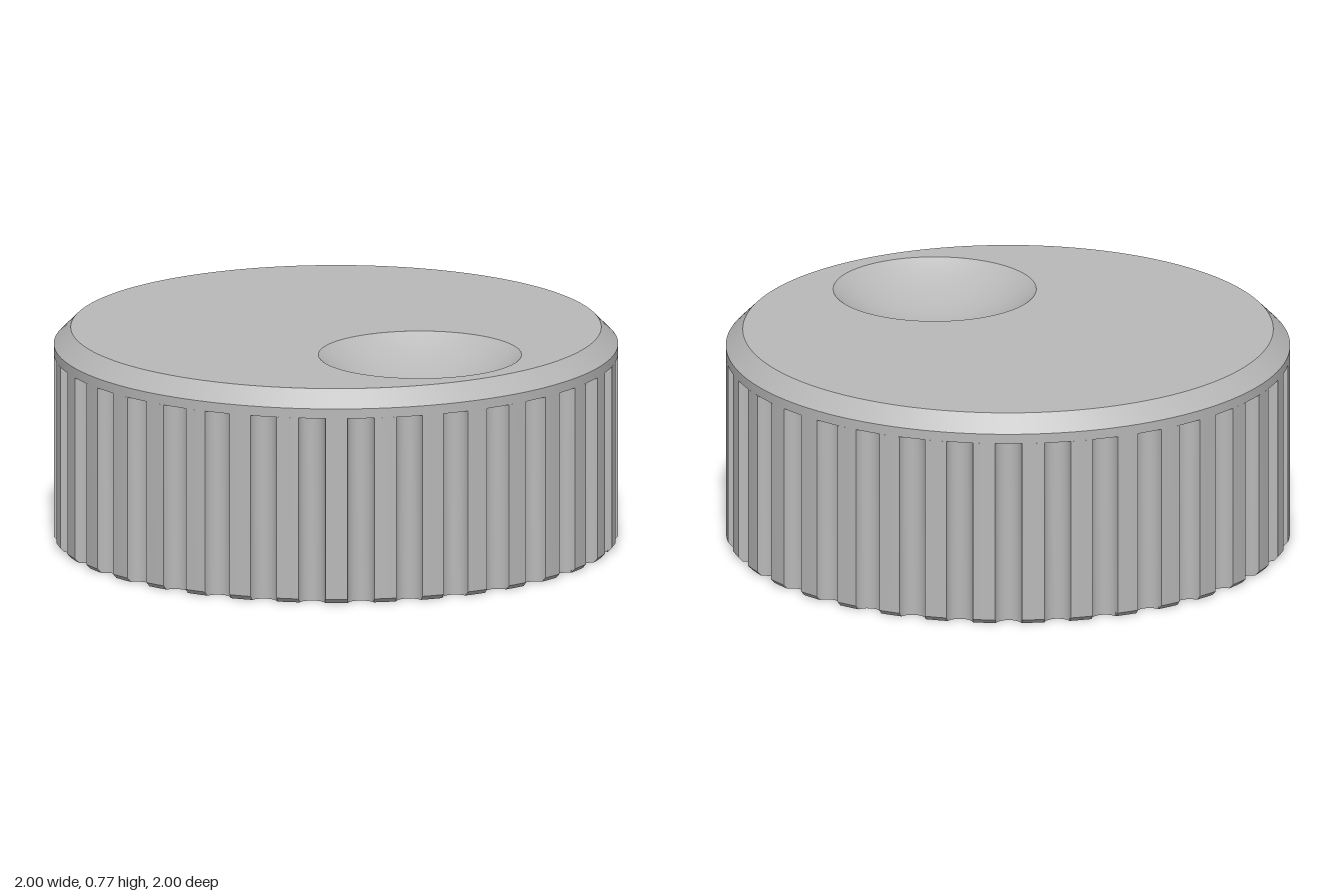
import * as THREE from 'three';
import { toCreasedNormals } from 'three/addons/utils/BufferGeometryUtils.js';

const GROOVES = 36, GROOVE_R = 0.048, GROOVE_TOP = 0.675;
const TOP = 0.77, TOP_R = 0.94, BOTTOM_R = 0.985, BORE_R = 0.25;
const DIMPLE_Z = 0.517, DIMPLE_R = 0.36, DIMPLE_SPHERE = 0.58;
const SEGMENTS = 144;
const v2 = (x, y) => new THREE.Vector2(x, y);

// Fluted outline: half-round grooves cut into a unit circle; x = sin, y = cos
function flutedOutline(maxRadius) {
  const points = [];
  const step = (Math.PI * 2) / GROOVES;
  const half = 2 * Math.asin(GROOVE_R / 2);
  const add = (angle, r) => {
    const c = Math.min(r, maxRadius);
    points.push(v2(c * Math.sin(angle), c * Math.cos(angle)));
  };
  for (let g = 0; g < GROOVES; g++) {
    const mid = g * step;
    for (let i = 0; i <= 10; i++) {
      const t = Math.PI * (i / 10);
      const across = -GROOVE_R * Math.cos(t);
      const out = Math.cos(half) - GROOVE_R * Math.sin(t);
      add(mid + Math.atan2(across, out), Math.hypot(across, out));
    }
    for (let i = 1; i < 4; i++) add(mid + half + (step - 2 * half) * (i / 4), 1);
  }
  return points;
}

// Skin between stacked outlines
function loftGeometry(rows) {
  const positions = [], indices = [];
  const n = rows[0].points.length;
  for (const { y, points } of rows) for (const p of points) positions.push(p.x, y, p.y);
  for (let j = 0; j < rows.length - 1; j++) {
    for (let i = 0; i < n; i++) {
      const a = j * n + i, b = j * n + ((i + 1) % n);
      indices.push(a, b, a + n, b, b + n, a + n);
    }
  }
  const geometry = new THREE.BufferGeometry();
  geometry.setAttribute('position', new THREE.Float32BufferAttribute(positions, 3));
  geometry.setIndex(indices);
  return toCreasedNormals(geometry, 0.6);
}

const lathe = (points) =>
  toCreasedNormals(new THREE.LatheGeometry(points, SEGMENTS), 0.6);

function circlePath(x, y, r) {
  return new THREE.Path().absarc(x, y, r, 0, Math.PI * 2, true);
}

export function createModel() {
  const knob = new THREE.Group();
  knob.name = 'knob';
  const grey = new THREE.MeshStandardMaterial({ color: 0xb8b8b8 });
  grey.name = 'satin grey';
  const add = (name, geometry) => {
    const mesh = new THREE.Mesh(geometry, grey);
    mesh.name = name;
    knob.add(mesh);
    return mesh;
  };

  // Grip wall with a small chamfer on the bottom edge
  const full = flutedOutline(1), foot = flutedOutline(BOTTOM_R);
  add('flutedGrip', loftGeometry([
    { y: 0, points: foot },
    { y: 0.016, points: full },
    { y: GROOVE_TOP, points: full },
  ]));

  // Downward face closing the upper end of every groove
  add('grooveEnds', new THREE.RingGeometry(0.93, 1, SEGMENTS).rotateX(Math.PI / 2))
    .position.y = GROOVE_TOP;

  // Plain rim and top chamfer
  add('rim', lathe([v2(1, GROOVE_TOP), v2(1, 0.71), v2(TOP_R, TOP)]));

  // Top face, open at the finger dimple
  const topShape = new THREE.Shape().absarc(0, 0, TOP_R, 0, Math.PI * 2, false);
  topShape.holes.push(circlePath(0, -DIMPLE_Z, DIMPLE_R));
  add('topFace', new THREE.ShapeGeometry(topShape, SEGMENTS).rotateX(-Math.PI / 2))
    .position.y = TOP;

  // Spherical finger dimple
  const rimAngle = Math.asin(DIMPLE_R / DIMPLE_SPHERE);
  const bowl = [];
  for (let i = 0; i <= 16; i++) {
    const a = rimAngle * (1 - i / 16);
    bowl.push(v2(DIMPLE_SPHERE * Math.sin(a), DIMPLE_SPHERE * (Math.cos(rimAngle) - Math.cos(a))));
  }
  add('fingerDimple', lathe(bowl)).position.set(0, TOP, DIMPLE_Z);

  // Underside, open at the bore
  const baseShape = new THREE.Shape(foot);
  baseShape.holes.push(circlePath(0, 0, BORE_R));
  add('underside', new THREE.ShapeGeometry(baseShape, SEGMENTS).rotateX(Math.PI / 2));

  // Stepped blind bore for the shaft
  add('shaftBore', lathe([
    v2(0, 0.5), v2(0.155, 0.5), v2(0.155, 0.165), v2(BORE_R, 0.165), v2(BORE_R, 0),
  ]));

  return knob;
}
